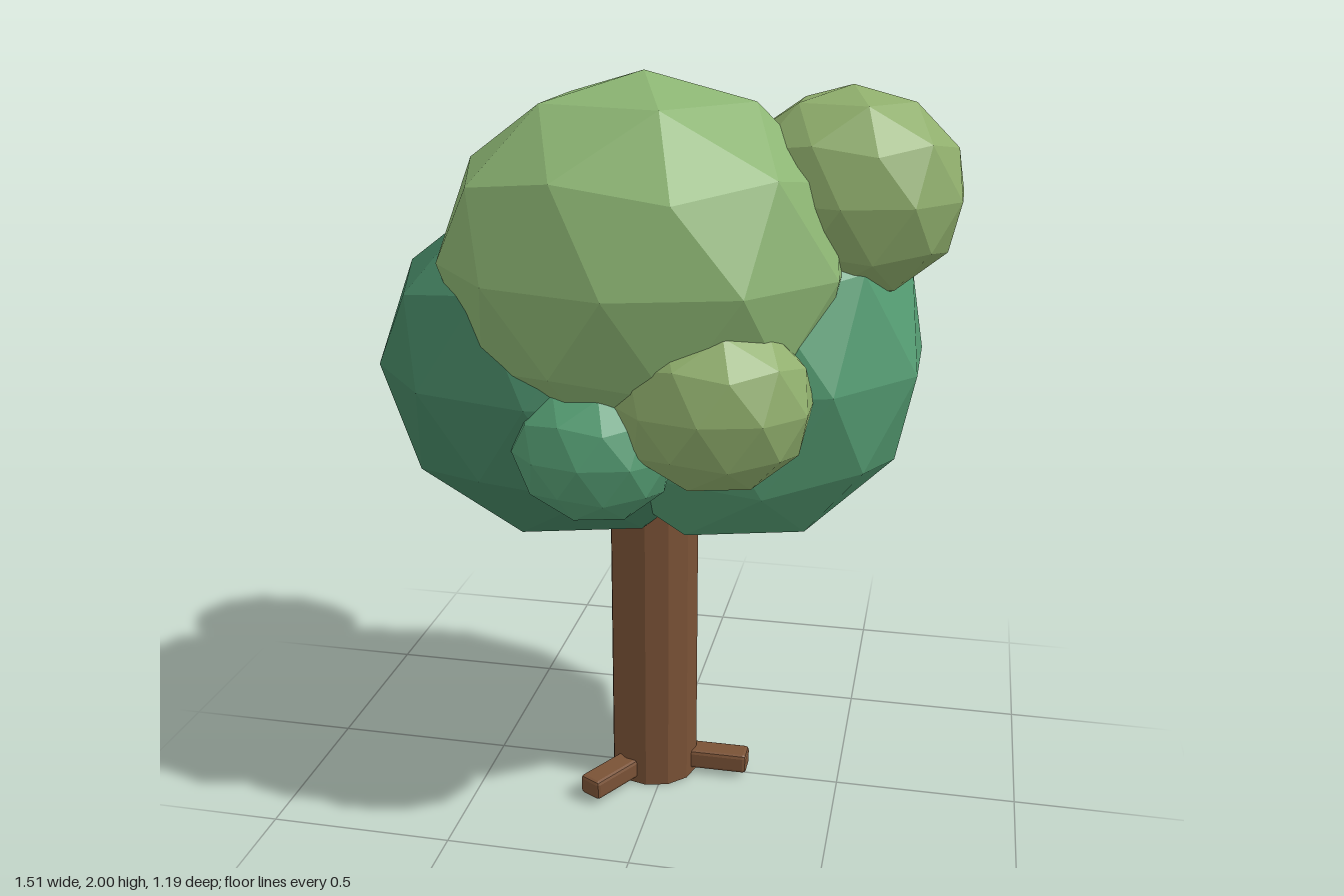
import * as THREE from 'three';
import { RoundedBoxGeometry } from 'three/addons/geometries/RoundedBoxGeometry.js';

const material = (color) => new THREE.MeshStandardMaterial({ color, flatShading: true });

const bark = material(0x7a5236);
const lightLeaf = material(0x8cb573);
const oliveLeaf = material(0x8fae6c);
const deepLeaf = material(0x468664);
const midLeaf = material(0x559d73);

// Low-poly ball with a vertex at the top, stretched to the given radii
function leafBall(name, mat, centre, radii) {
  const geometry = new THREE.IcosahedronGeometry(1, 1);
  geometry.rotateZ(-Math.atan(2 / (1 + Math.sqrt(5))));
  geometry.scale(...radii);
  const mesh = new THREE.Mesh(geometry, mat);
  mesh.name = name;
  mesh.position.set(...centre);
  return mesh;
}

export function createModel() {
  const tree = new THREE.Group();
  tree.name = 'tree';
  const trunkX = -0.035;

  // Trunk, running up into the crown
  const trunk = new THREE.Mesh(new THREE.CylinderGeometry(0.124, 0.124, 1.1, 12), bark);
  trunk.name = 'trunk';
  trunk.position.set(trunkX, 0.55, 0);
  tree.add(trunk);

  // Three stubby roots spread evenly around the base
  const roots = new THREE.Group();
  roots.name = 'roots';
  roots.position.set(trunkX, 0.043, 0);
  for (let i = 0; i < 3; i++) {
    const geometry = new RoundedBoxGeometry(0.2, 0.056, 0.07, 1, 0.01);
    geometry.translate(0.175, 0, 0);
    const root = new THREE.Mesh(geometry, bark);
    root.name = 'root';
    root.rotation.y = (i * Math.PI * 2) / 3;
    roots.add(root);
  }
  tree.add(roots);

  // Crown: three big masses and four small tufts
  const crown = new THREE.Group();
  crown.name = 'crown';
  crown.add(
    leafBall('topFoliage', lightLeaf, [-0.032, 1.53, 0.119], [0.532, 0.47, 0.473]),
    leafBall('rightFoliage', deepLeaf, [-0.26, 1.22, -0.003], [0.523, 0.49, 0.465]),
    leafBall('leftFoliage', midLeaf, [0.17, 1.255, -0.055], [0.52, 0.525, 0.465]),
    leafBall('upperLeftTuft', oliveLeaf, [0.47, 1.7, 0.016], [0.294, 0.266, 0.251]),
    leafBall('backTuft', midLeaf, [-0.14, 1.7, -0.386], [0.249, 0.217, 0.211]),
    leafBall('frontLeftTuft', oliveLeaf, [0.19, 1.245, 0.38], [0.25, 0.225, 0.205]),
    leafBall('frontRightTuft', midLeaf, [-0.105, 1.105, 0.382], [0.208, 0.185, 0.167])
  );
  tree.add(crown);

  return tree;
}
